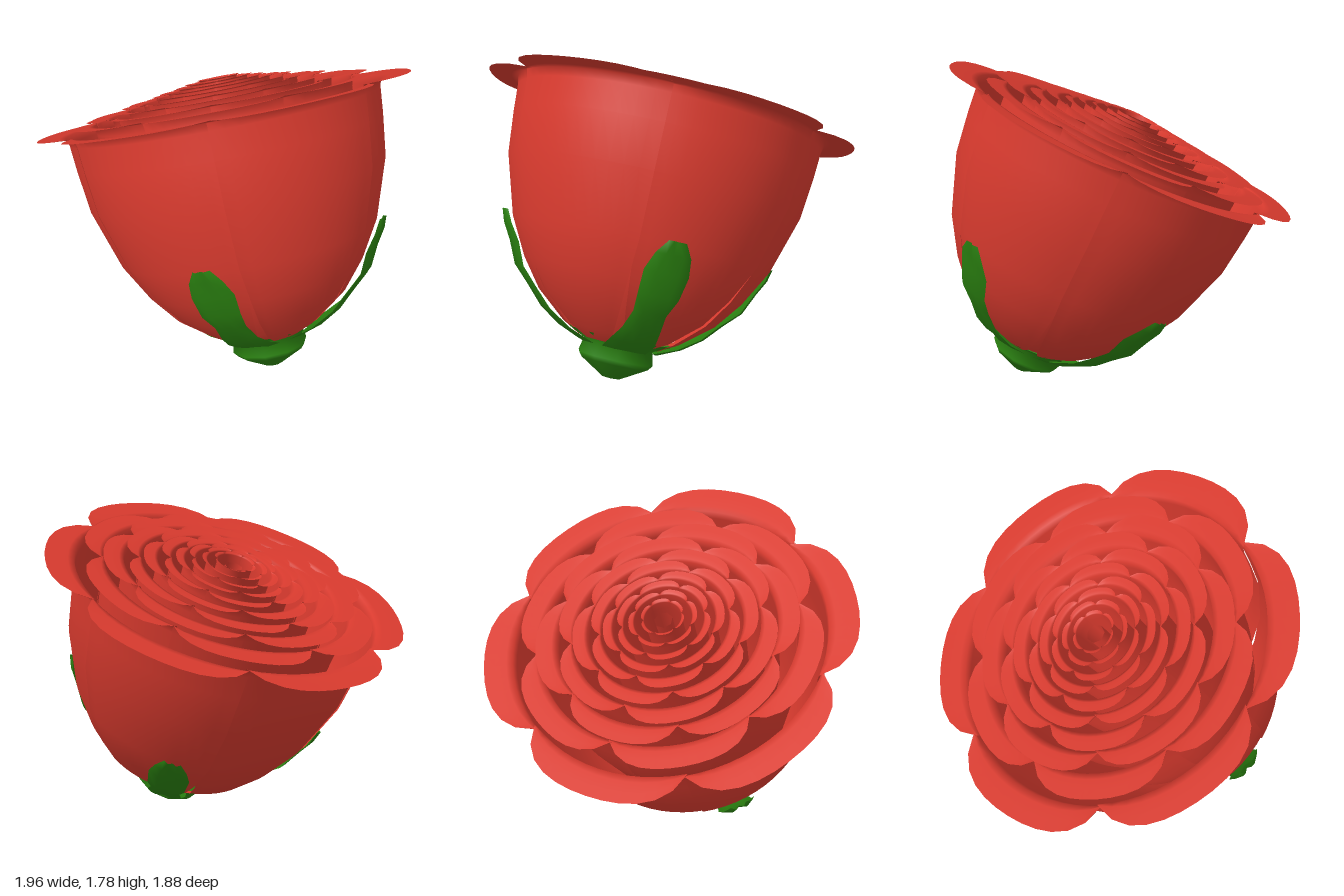
import * as THREE from 'three';

// Outer cup profile [radius, height, petal width factor] from calyx to rim
const CUP = [
  [0.22, 0.21, 0.6], [0.32, 0.265, 0.82], [0.485, 0.4, 0.92], [0.6, 0.55, 0.96],
  [0.71, 0.75, 1], [0.81, 1.07, 1], [0.835, 1.3, 1], [0.845, 1.44, 1], [0.855, 1.482, 1],
];
const RIM = 1.485;

const petalMat = new THREE.MeshStandardMaterial({ color: 0xd83a2e, side: THREE.DoubleSide });
const greenMat = new THREE.MeshStandardMaterial({ color: 0x2a8010, side: THREE.DoubleSide });

// Smooth sheet from a function (row, column) -> [x, y, z]
function sheet(rows, cols, point) {
  const pos = [], idx = [];
  for (let i = 0; i < rows; i++) {
    for (let j = 0; j < cols; j++) {
      pos.push(...point(i, j));
      if (i < rows - 1 && j < cols - 1) {
        const a = i * cols + j, b = a + cols;
        idx.push(a, a + 1, b, a + 1, b + 1, b);
      }
    }
  }
  const g = new THREE.BufferGeometry();
  g.setAttribute('position', new THREE.Float32BufferAttribute(pos, 3));
  g.setIndex(idx);
  g.computeVertexNormals();
  return g;
}

// One petal: a sector of the cup with a flat, rounded lip turned outwards
function petalGeometry(scale, half) {
  const top = RIM + 0.17 * (1 - scale);
  const stretch = (top - 0.2) / (RIM - 0.2);
  const cols = 13, lips = [0.2, 0.6, 1];
  return sheet(CUP.length + lips.length, cols, (i, j) => {
    const u = (j / (cols - 1)) * 2 - 1;
    let r, h, a;
    if (i < CUP.length) {
      const [cr, ch, w] = CUP[i];
      r = cr;
      h = 0.2 + (ch - 0.2) * stretch;
      a = u * half * w;
    } else {
      const t = lips[i - CUP.length];
      r = 0.86 + 0.155 * t * (1 - Math.abs(u) ** 4);
      h = top + 0.006 * t;
      a = u * half;
    }
    r *= scale;
    return [Math.sin(a) * r, h, Math.cos(a) * r];
  });
}

// Radius of the cup at a given height
function cupRadius(h) {
  for (let i = 1; i < CUP.length; i++) {
    const [r0, h0] = CUP[i - 1], [r1, h1] = CUP[i];
    if (h <= h1) return r0 + ((r1 - r0) * (h - h0)) / (h1 - h0);
  }
  return CUP[CUP.length - 1][0];
}

// Sepal rows: [height, half width, lift off the cup]
const SEPAL = [
  [0.19, 0.13, 0.01], [0.25, 0.125, 0.03], [0.33, 0.1, 0.04], [0.42, 0.085, 0.025],
  [0.52, 0.105, 0.05], [0.63, 0.115, 0.03], [0.72, 0.09, 0.035], [0.785, 0.045, 0.03],
];
const RIDGE = [0.008, 0.03, 0.012, 0.03, 0.008];

function sepalGeometry() {
  return sheet(SEPAL.length, RIDGE.length, (i, j) => {
    const [h, w, lift] = SEPAL[i];
    const r = cupRadius(h) + lift * 0.6 + RIDGE[j];
    const a = ((j / 2 - 1) * w) / r;
    return [Math.sin(a) * r, h - lift * 0.4, Math.cos(a) * r];
  });
}

export function createModel() {
  const model = new THREE.Group();
  model.name = 'roseHead';
  const bloom = new THREE.Group();
  bloom.name = 'bloom';
  model.add(bloom);

  // Nested rings of six petals, each ring turned by half a petal
  const rings = [1, 0.82, 0.7, 0.59, 0.49, 0.4, 0.32, 0.25, 0.18, 0.115];
  rings.forEach((scale, k) => {
    const ring = new THREE.Group();
    ring.name = `petalRing${k + 1}`;
    const geo = petalGeometry(scale, THREE.MathUtils.degToRad(30.8));
    for (let n = 0; n < 6; n++) {
      const petal = new THREE.Mesh(geo, petalMat);
      petal.name = 'petal';
      petal.rotation.y = (n + (k % 2) / 2) * (Math.PI / 3);
      const grow = n % 2 ? 0.995 : 1.005;
      petal.scale.set(grow, 1, grow);
      ring.add(petal);
    }
    bloom.add(ring);
  });

  // Rolled bud in the heart of the flower
  const bud = new THREE.Mesh(
    new THREE.CylinderGeometry(0.05, 0.04, 0.5, 7, 1, true), petalMat);
  bud.name = 'bud';
  bud.position.y = 1.36;
  bloom.add(bud);

  // Green base under the petals
  const profile = [[0, 0.012], [0.05, 0.018], [0.19, 0.1], [0.21, 0.125], [0.195, 0.2], [0.29, 0.245]];
  const calyx = new THREE.Mesh(
    new THREE.LatheGeometry(profile.map(([r, h]) => new THREE.Vector2(r, h)), 10), greenMat);
  calyx.name = 'calyx';
  bloom.add(calyx);

  // Four sepals hugging the cup
  const sepalGeo = sepalGeometry();
  for (let n = 0; n < 4; n++) {
    const sepal = new THREE.Mesh(sepalGeo, greenMat);
    sepal.name = 'sepal';
    sepal.rotation.y = (n + 0.5) * (Math.PI / 2);
    bloom.add(sepal);
  }

  // The whole bloom nods backwards
  bloom.rotation.x = THREE.MathUtils.degToRad(-24.3);
  bloom.position.set(0, 0, 0.6);
  return model;
}
